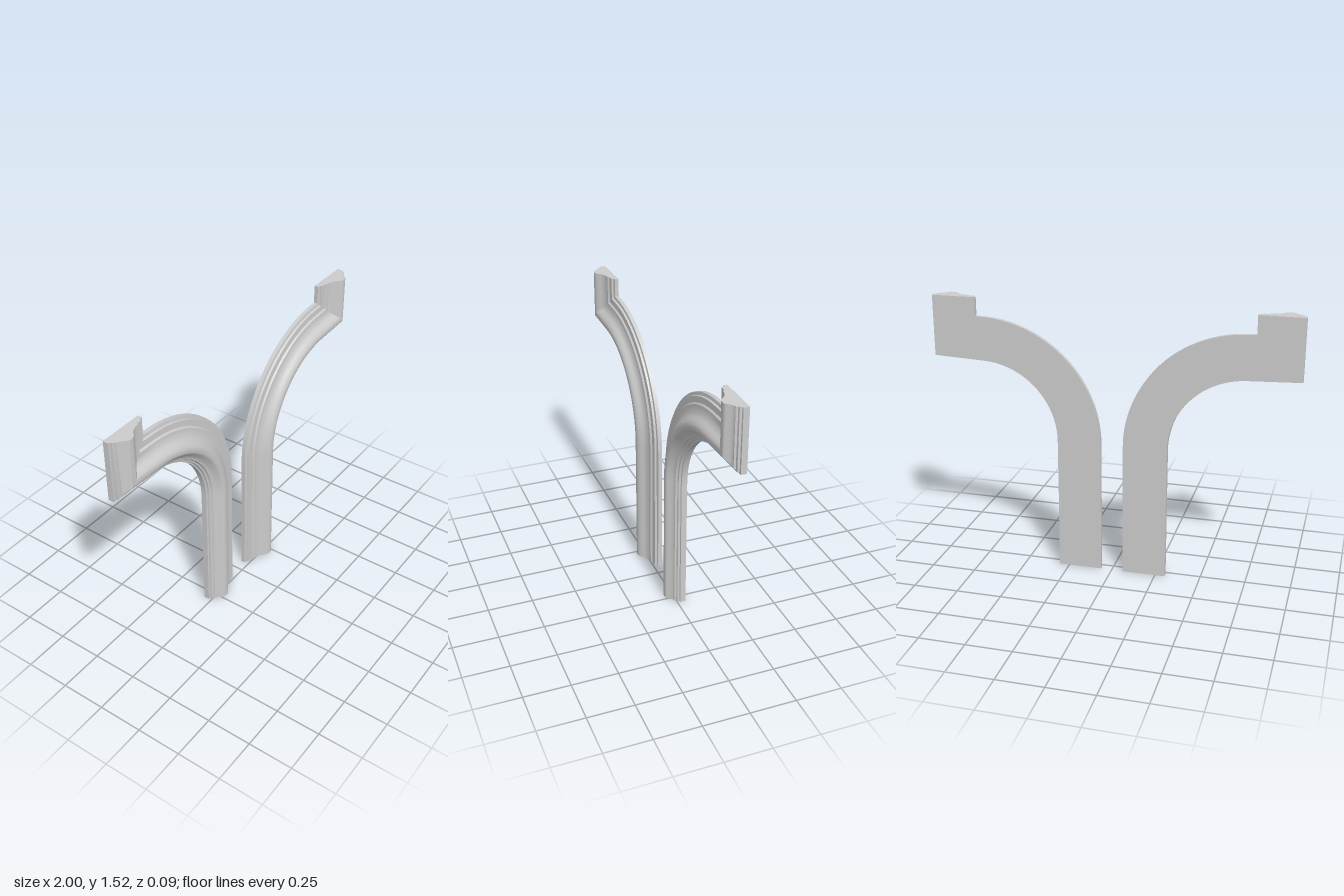
import * as THREE from 'three';
import { toCreasedNormals } from 'three/addons/utils/BufferGeometryUtils.js';

const WIDTH = 0.243;
const BACK = -0.047;
const TOP = 1.525;
const CENTRE = { x: 0.7325, y: 0.75 };   // centre of the bend
const RADIUS = 0.67;                     // outer radius of the bend
const TILT = THREE.MathUtils.degToRad(2.5); // rise of the short arm
const CORNER_X = 0.757;                  // inside corner of the mitre
const ARC_STEPS = 36;

// Moulding section: x = distance from the outer edge, y = depth
function sectionPoints() {
  const crown = new THREE.SplineCurve([
    [0.058, 0], [0.08, 0.003], [0.105, 0.014], [0.126, 0.034], [0.143, 0.045],
    [0.16, 0.047], [0.175, 0.044], [0.19, 0.029], [0.205, 0.015], [0.218, 0.01],
  ].map(([w, z]) => new THREE.Vector2(w, z))).getPoints(28);
  const v = (w, z) => new THREE.Vector2(w, z);
  return [
    v(0, BACK), v(0, -0.025), v(0.016, -0.022), v(0.019, -0.011), v(0.05, -0.009),
    ...crown,
    v(0.222, 0), v(0.232, -0.003), v(0.234, -0.014), v(WIDTH, -0.016), v(WIDTH, BACK),
  ];
}

// Stations along the run, each mapping a distance across the section to x, y
function pathStations() {
  const bend = (w, a) => [CENTRE.x - (RADIUS - w) * Math.cos(a), CENTRE.y + (RADIUS - w) * Math.sin(a)];
  const stations = [w => [CENTRE.x - RADIUS + w, 0]];
  const end = Math.PI / 2 - TILT;
  for (let i = 0; i <= ARC_STEPS; i++) stations.push(w => bend(w, end * i / ARC_STEPS));
  // mitre, where the tilted arm meets the upright end
  stations.push(w => {
    const [px, py] = bend(w, end);
    const x = CORNER_X + w;
    return [x, py + (x - px) * Math.tan(TILT)];
  });
  stations.push(w => [CORNER_X + w, TOP]);
  return stations;
}

function mouldingGeometry(side) {
  const section = sectionPoints();
  const stations = pathStations();
  const n = section.length;
  const positions = [];
  const index = [];
  const tri = (a, b, c) => (side > 0 ? index.push(a, b, c) : index.push(a, c, b));

  for (const at of stations) {
    for (const p of section) {
      const [x, y] = at(p.x);
      positions.push(side * x, y, p.y);
    }
  }
  // moulded face, edges and flat back
  for (let i = 0; i < stations.length - 1; i++) {
    for (let j = 0; j < n; j++) {
      const a = i * n + j, b = i * n + (j + 1) % n;
      tri(a, b, b + n);
      tri(a, b + n, a + n);
    }
  }
  // cut ends
  const last = (stations.length - 1) * n;
  for (const face of THREE.ShapeUtils.triangulateShape(section, [])) {
    let [a, b, c] = face;
    if (THREE.ShapeUtils.area([section[a], section[b], section[c]]) < 0) [b, c] = [c, b];
    tri(a, b, c);
    tri(last + a, last + c, last + b);
  }

  const geometry = new THREE.BufferGeometry();
  geometry.setAttribute('position', new THREE.Float32BufferAttribute(positions, 3));
  geometry.setIndex(index);
  return toCreasedNormals(geometry, 0.45);
}

export function createModel() {
  const group = new THREE.Group();
  group.name = 'curvedMouldings';
  const material = new THREE.MeshStandardMaterial({ color: 0xcccccc });
  for (const [name, side] of [['leftMoulding', 1], ['rightMoulding', -1]]) {
    const mesh = new THREE.Mesh(mouldingGeometry(side), material);
    mesh.name = name;
    group.add(mesh);
  }
  return group;
}
